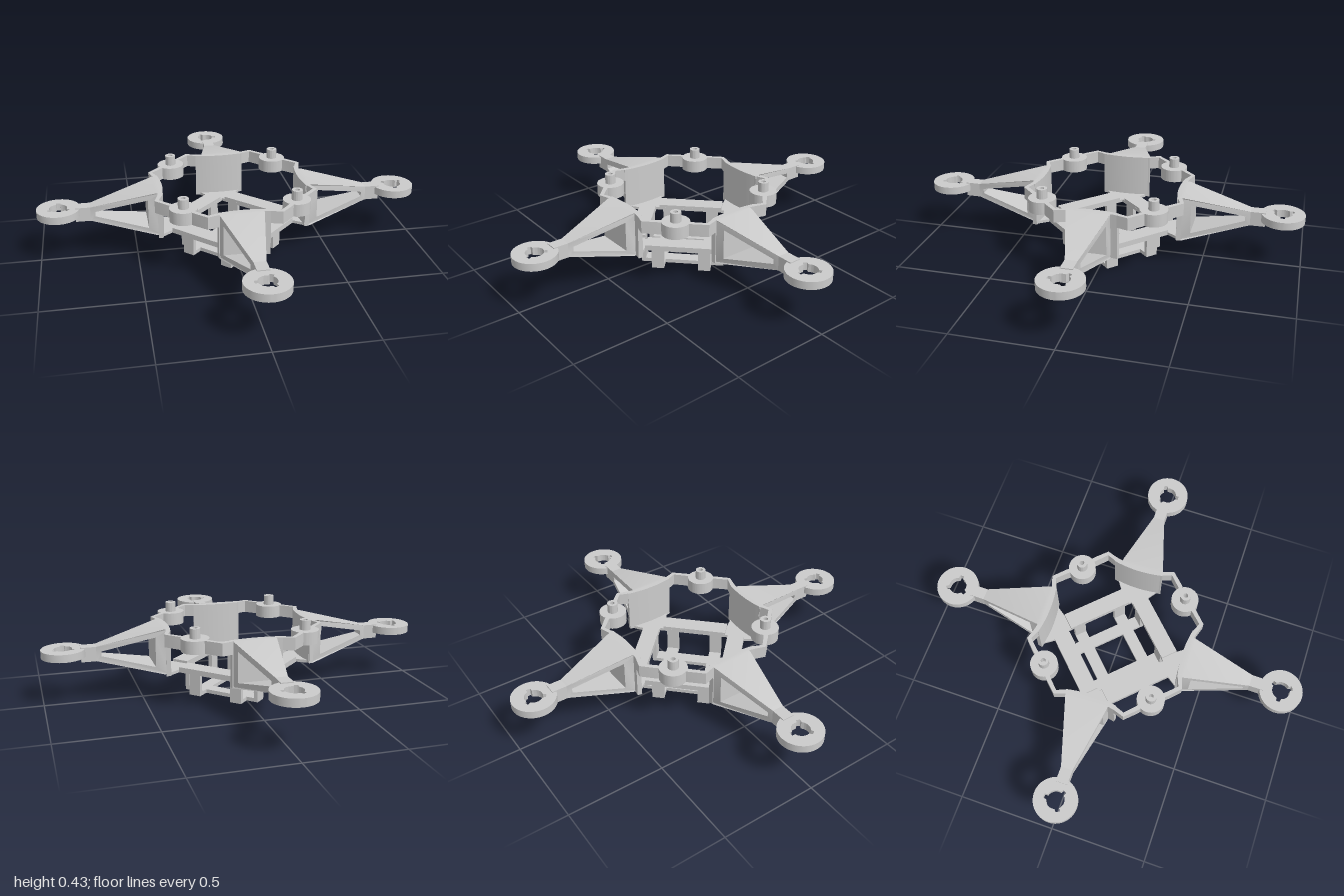
import * as THREE from 'three';
import { toCreasedNormals } from 'three/addons/utils/BufferGeometryUtils.js';

const material = new THREE.MeshStandardMaterial({ color: 0xcccccc });

function add(parent, geometry, name) {
  const mesh = new THREE.Mesh(toCreasedNormals(geometry, 0.6), material);
  mesh.name = name;
  parent.add(mesh);
}

function box(parent, name, w, h, d, x, y, z) {
  add(parent, new THREE.BoxGeometry(w, h, d).translate(x, y, z), name);
}

// Flat plate: outline and hole are [x, z] points in the same turning sense, raised from y0 to y1
function slab(points, y0, y1, hole) {
  const toVectors = (list) => list.map(([x, z]) => new THREE.Vector2(x, -z));
  const shape = new THREE.Shape(toVectors(points));
  if (hole) shape.holes.push(new THREE.Path(toVectors(hole).reverse()));
  return new THREE.ExtrudeGeometry(shape, { depth: y1 - y0, bevelEnabled: false })
    .rotateX(-Math.PI / 2).translate(0, y0, 0);
}

// Thin upright wall that follows a path of [x, z] points
function wall(path, thickness, y0, y1) {
  const side = (sign) => path.map(([x, z], i) => {
    const a = path[Math.max(i - 1, 0)], b = path[Math.min(i + 1, path.length - 1)];
    const dx = b[0] - a[0], dz = b[1] - a[1], k = sign * thickness / 2 / Math.hypot(dx, dz);
    return [x - dz * k, z + dx * k];
  });
  return slab([...side(1), ...side(-1).reverse()], y0, y1);
}

// Circle of [x, z] points, optionally with three key notches
function circle(cx, cz, r, notch = r) {
  const points = [];
  const n = 72;
  for (let i = 0; i < n; i++) {
    const a = (i / n) * Math.PI * 2;
    const inNotch = Math.abs(((i - 18 + n) % 24 + 12) % 24 - 12) <= 2;
    const radius = inNotch ? notch : r;
    points.push([cx + radius * Math.cos(a), cz + radius * Math.sin(a)]);
  }
  return points;
}

// Tapered arm with a triangular window, slightly skewed at its root
function armGeometry() {
  const v = (x, y) => new THREE.Vector2(x, y);
  const shape = new THREE.Shape([
    v(0.37, 0.14), v(0.40, 0.14), v(0.73, 0.22), v(0.73, 0.295), v(0.40, 0.375), v(0.37, 0.375)]);
  shape.holes.push(new THREE.Path([v(0.44, 0.18), v(0.44, 0.335), v(0.705, 0.27), v(0.705, 0.245)]));
  const geometry = new THREE.ExtrudeGeometry(shape, { depth: 1, bevelEnabled: false });
  const p = geometry.attributes.position;
  for (let i = 0; i < p.count; i++) {
    const t = THREE.MathUtils.clamp((p.getX(i) - 0.39) / 0.34, 0, 1);
    const low = THREE.MathUtils.lerp(-0.096, -0.03, t);
    const high = THREE.MathUtils.lerp(0.128, 0.03, t);
    p.setZ(i, THREE.MathUtils.lerp(low, high, p.getZ(i)));
  }
  return geometry;
}

function createQuarter() {
  const quarter = new THREE.Group();
  add(quarter, armGeometry(), 'arm');
  box(quarter, 'armNeck', 0.08, 0.075, 0.06, 0.765, 0.2575, 0);
  add(quarter, slab(circle(0.89, 0, 0.11), 0.25, 0.29, circle(0.89, 0, 0.045, 0.06)), 'motorRing');

  // Curved panel closing the arm root
  const panel = [];
  for (let i = -6; i <= 6; i++) panel.push([0.37 + 0.014 * (i / 6) ** 2, i * 0.13 / 6]);
  add(quarter, wall(panel, 0.024, 0.14, 0.375), 'rootPanel');

  // Folded rim on both sides of the arm, reaching the mounts
  for (const s of [-1, 1]) {
    const path = [[0.382, 0.12], [0.403, 0.18], [0.348, 0.235], [0.315, 0.26]];
    add(quarter, wall(path.map(([x, z]) => [x, z * s]), 0.022, 0.31, 0.375), 'rim');
  }

  // Round mount with a hollow peg
  const m = 0.283;
  add(quarter, slab(circle(m, m, 0.07), 0.31, 0.375), 'mount');
  add(quarter, slab(circle(m, m, 0.027), 0.375, 0.425, circle(m, m, 0.012)), 'mountPeg');

  // Raised bar along one side of the base frame
  add(quarter, slab([[0.32, 0.075], [0.075, 0.32], [0.012, 0.257], [0.257, 0.012]], 0.15, 0.165), 'baseBar');
  return quarter;
}

export function createModel() {
  const model = new THREE.Group();
  model.name = 'quadFrame';

  for (let i = 0; i < 4; i++) {
    const quarter = createQuarter();
    quarter.name = 'armAssembly' + (i + 1);
    quarter.rotation.y = -i * Math.PI / 2;
    model.add(quarter);
  }

  // Diamond base frame with flared corners
  const outline = [];
  let corner = [[0.32, -0.075], [0.37, -0.11], [0.37, 0.11], [0.32, 0.075]];
  for (let i = 0; i < 4; i++) {
    outline.push(...corner);
    corner = corner.map(([x, z]) => [-z, x]);
  }
  const h = 0.19 * Math.SQRT2;
  add(model, slab(outline, 0.137, 0.152, [[h, 0], [0, h], [-h, 0], [0, -h]]), 'baseFrame');

  // Crossed U-shaped straps forming the cage below the base
  const cage = new THREE.Group();
  cage.name = 'batteryCage';
  cage.rotation.y = Math.PI / 4;
  for (const turn of [0, 1]) {
    const pair = new THREE.Group();
    pair.name = 'strapPair';
    pair.rotation.y = turn * Math.PI / 2;
    for (const s of [-1, 1]) {
      box(pair, 'strapFloor', 0.43, 0.02, 0.064, 0, 0.01, s * 0.12);
      for (const e of [-1, 1]) box(pair, 'strapLeg', 0.022, 0.145, 0.064, e * 0.204, 0.0725, s * 0.12);
    }
    cage.add(pair);
  }
  model.add(cage);
  return model;
}
